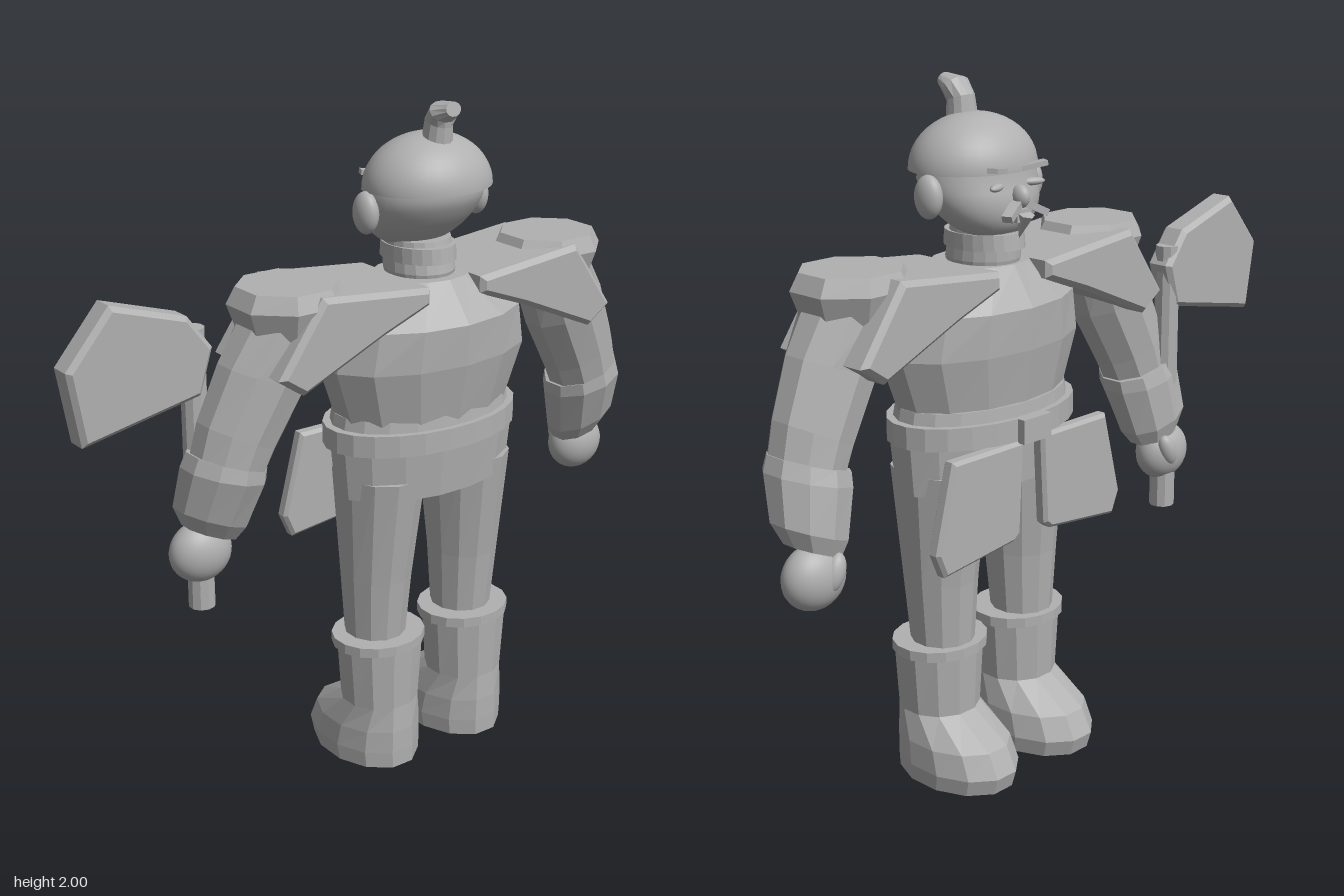
import * as THREE from 'three';

const gray = new THREE.MeshStandardMaterial({ color: 0xb0b0b0 });
gray.name = 'clay gray';

// Flat facets without a second material
function flat(geometry) {
  const g = geometry.index ? geometry.toNonIndexed() : geometry;
  g.computeVertexNormals();
  return g;
}

// Faceted solid through elliptical rings, bottom to top.
// Ring: [x, y, z, radiusX, radiusZ, slopeX, slopeZ]; s mirrors in x.
function loft(rings, sides = 12, s = 1) {
  const pos = [];
  const idx = [];
  for (const [x, y, z, rx, rz, tx = 0, tz = 0] of rings) {
    for (let j = 0; j < sides; j++) {
      const a = ((j + 0.5) / sides) * Math.PI * 2;
      const dx = Math.cos(a) * rx;
      const dz = Math.sin(a) * rz;
      pos.push(x * s + dx, y + tx * s * dx + tz * dz, z + dz);
    }
  }
  const last = rings.length - 1;
  for (const i of [0, last]) pos.push(rings[i][0] * s, rings[i][1], rings[i][2]);
  const bottom = rings.length * sides;
  for (let j = 0; j < sides; j++) {
    const k = (j + 1) % sides;
    for (let i = 0; i < last; i++) {
      const a = i * sides + j, b = i * sides + k;
      idx.push(a, a + sides, b, b, a + sides, b + sides);
    }
    idx.push(bottom, j, k, bottom + 1, last * sides + k, last * sides + j);
  }
  const g = new THREE.BufferGeometry();
  g.setAttribute('position', new THREE.Float32BufferAttribute(pos, 3));
  g.setIndex(idx);
  return flat(g);
}

// Bevelled plate from an outline in x, y, between z0 and z1
function plate(points, z0, z1, bevel, s = 1) {
  const shape = new THREE.Shape(points.map(([x, y]) => new THREE.Vector2(x * s, y)));
  const g = new THREE.ExtrudeGeometry(shape, {
    depth: z1 - z0 - 2 * bevel, bevelEnabled: true, bevelThickness: bevel,
    bevelSize: bevel, bevelOffset: -bevel, bevelSegments: 1,
  });
  g.translate(0, 0, z0 + bevel);
  return g;
}

function ellipsoid(rx, ry, rz) {
  return new THREE.SphereGeometry(1, 32, 20).scale(rx, ry, rz);
}

export function createModel() {
  const model = new THREE.Group();
  model.name = 'armouredFigure';
  const body = new THREE.Group();
  body.name = 'body';
  body.position.x = 0.148;
  model.add(body);

  function add(name, geometry, x = 0, y = 0, z = 0, parent = body) {
    const mesh = new THREE.Mesh(geometry, gray);
    mesh.name = name;
    mesh.position.set(x, y, z);
    parent.add(mesh);
    return mesh;
  }

  // Torso, belt and hips
  add('torso', loft([
    [0, 1.05, 0.025, 0.275, 0.17], [0, 1.1, 0.025, 0.285, 0.175],
    [0, 1.27, 0.03, 0.345, 0.205], [0, 1.39, 0.03, 0.32, 0.21],
    [0, 1.5, 0.02, 0.15, 0.13],
  ], 14));
  add('waistband', loft([[0, 1.07, 0.02, 0.3, 0.185], [0, 1.12, 0.02, 0.29, 0.18]], 20));
  add('belt', loft([[0, 1.02, 0.02, 0.32, 0.2], [0, 1.085, 0.02, 0.32, 0.2]], 24));
  add('hips', loft([[0, 0.875, 0.03, 0.295, 0.165], [0, 1.03, 0.03, 0.31, 0.18]], 16));
  add('buckle', new THREE.BoxGeometry(0.11, 0.07, 0.05), 0, 1.05, -0.175);

  // Neck and collar
  add('neck', loft([[0, 1.46, 0.01, 0.09, 0.1], [0, 1.51, 0.01, 0.1, 0.11], [0, 1.6, 0, 0.095, 0.1]], 20));
  add('collar', loft([[0, 1.54, 0.005, 0.1, 0.125], [0, 1.585, 0.005, 0.1, 0.12]], 24));

  // Head: the jaw leans forward below a round cap
  const skull = ellipsoid(0.185, 0.165, 0.145);
  const p = skull.attributes.position;
  for (let i = 0; i < p.count; i++) p.setZ(i, p.getZ(i) + 0.4 * Math.min(0, p.getY(i)));
  skull.computeVertexNormals();
  add('head', skull, 0, 1.73, 0.03);
  const cap = new THREE.SphereGeometry(1, 32, 12, 0, Math.PI * 2, 0, Math.PI / 2).scale(0.195, 0.15, 0.162);
  add('cap', cap, 0, 1.752, 0.045);
  const rim = new THREE.CircleGeometry(1, 32).rotateX(Math.PI / 2).scale(0.195, 1, 0.162);
  add('capUnderside', rim, 0, 1.752, 0.045);
  add('topknot', loft([
    [0, 1.87, 0.085, 0.045, 0.045], [0, 1.935, 0.092, 0.038, 0.04, 0, -0.3],
    [0, 1.965, 0.112, 0.046, 0.022, 0, -1.2], [0, 1.978, 0.155, 0.026, 0.004, 0, -5],
  ], 12));

  // Face
  add('nose', ellipsoid(0.022, 0.032, 0.03), 0, 1.69, -0.132);
  add('mouth', new THREE.BoxGeometry(0.055, 0.035, 0.02), 0, 1.64, -0.137);
  const goatee = add('goatee', new THREE.ConeGeometry(0.026, 0.075, 6), 0, 1.61, -0.14);
  goatee.rotation.x = Math.PI - 0.35;

  for (const s of [1, -1]) {
    const side = s > 0 ? 'left' : 'right';
    const part = (name, geometry, x = 0, y = 0, z = 0) => add(side + name, geometry, x * s, y, z);

    // Facial features and ear
    part('Ear', ellipsoid(0.032, 0.06, 0.045), 0.195, 1.695, 0.02);
    part('Eye', ellipsoid(0.036, 0.011, 0.014), 0.07, 1.72, -0.112).rotation.y = s * 0.4;
    const brow = part('Brow', new THREE.BoxGeometry(0.075, 0.014, 0.03), 0.07, 1.765, -0.115);
    brow.rotation.set(0, s * 0.4, s * 0.15);
    const moustache = part('Moustache', new THREE.BoxGeometry(0.075, 0.02, 0.03), 0.045, 1.657, -0.145);
    moustache.rotation.set(0, s * 0.35, -s * 0.45);

    // Legs and boots
    part('Leg', loft([
      [0.165, 0.36, 0.02, 0.088, 0.09], [0.165, 0.6, 0.025, 0.105, 0.11],
      [0.158, 0.93, 0.03, 0.13, 0.15],
    ], 12, s));
    part('BootCuff', loft([[0.163, 0.382, 0.035, 0.145, 0.13], [0.163, 0.412, 0.035, 0.145, 0.13]], 16, s));
    part('Boot', loft([
      [0.163, 0, -0.03, 0.14, 0.195], [0.163, 0.05, -0.037, 0.146, 0.203],
      [0.163, 0.12, -0.02, 0.14, 0.185], [0.163, 0.2, 0.04, 0.118, 0.118],
      [0.163, 0.385, 0.04, 0.132, 0.125],
    ], 12, s));

    // Hanging skirt plate
    part('SkirtPlate', plate([
      [0.035, 1.02], [0.31, 1.02], [0.375, 0.77], [0.345, 0.7], [0.075, 0.73], [0.05, 0.75],
    ], -0.185, -0.14, 0.01, s));

    // Shoulder armour
    part('ShoulderPlate', plate([
      [0.09, 1.5], [0.45, 1.535], [0.595, 1.33], [0.515, 1.275], [0.25, 1.39], [0.09, 1.45],
    ], -0.155, 0.188, 0.015, s));
    part('ShoulderCap', loft([
      [0.465, 1.4, 0.03, 0.135, 0.125], [0.465, 1.5, 0.03, 0.172, 0.16], [0.465, 1.547, 0.03, 0.145, 0.14],
    ], 8, s));

    // Arm, gauntlet and hand
    part('Arm', loft([
      [0.67, 1.03, 0.005, 0.1, 0.1, 0.45], [0.63, 1.14, 0.012, 0.11, 0.105, 0.5],
      [0.55, 1.3, 0.025, 0.125, 0.115, 0.4], [0.475, 1.46, 0.03, 0.13, 0.125],
    ], 10, s));
    part('Gauntlet', loft([
      [0.692, 0.85, -0.045, 0.08, 0.075, 0.4], [0.692, 0.9, -0.035, 0.108, 0.1, 0.4],
      [0.665, 1.03, -0.005, 0.122, 0.118, 0.3], [0.655, 1.07, 0, 0.115, 0.11, 0.35],
    ], 10, s));
    part('Hand', ellipsoid(0.095, 0.09, 0.068), 0.71, 0.785, -0.068);
    const thumb = part('Thumb', ellipsoid(0.03, 0.055, 0.028), 0.68, 0.8, -0.115);
    thumb.rotation.z = s * 0.4;
  }

  // Axe in the right hand
  const axe = new THREE.Group();
  axe.name = 'axe';
  model.add(axe);
  add('axeHandle', flat(new THREE.CylinderGeometry(0.036, 0.039, 0.83, 10)), -0.557, 1.025, -0.078, axe);
  add('axeBlade', plate([
    [-0.82, 1.557], [-0.955, 1.4], [-0.92, 1.185], [-0.555, 1.255], [-0.515, 1.385], [-0.59, 1.485],
  ], -0.118, -0.03, 0.014), 0, 0, 0, axe);

  return model;
}
